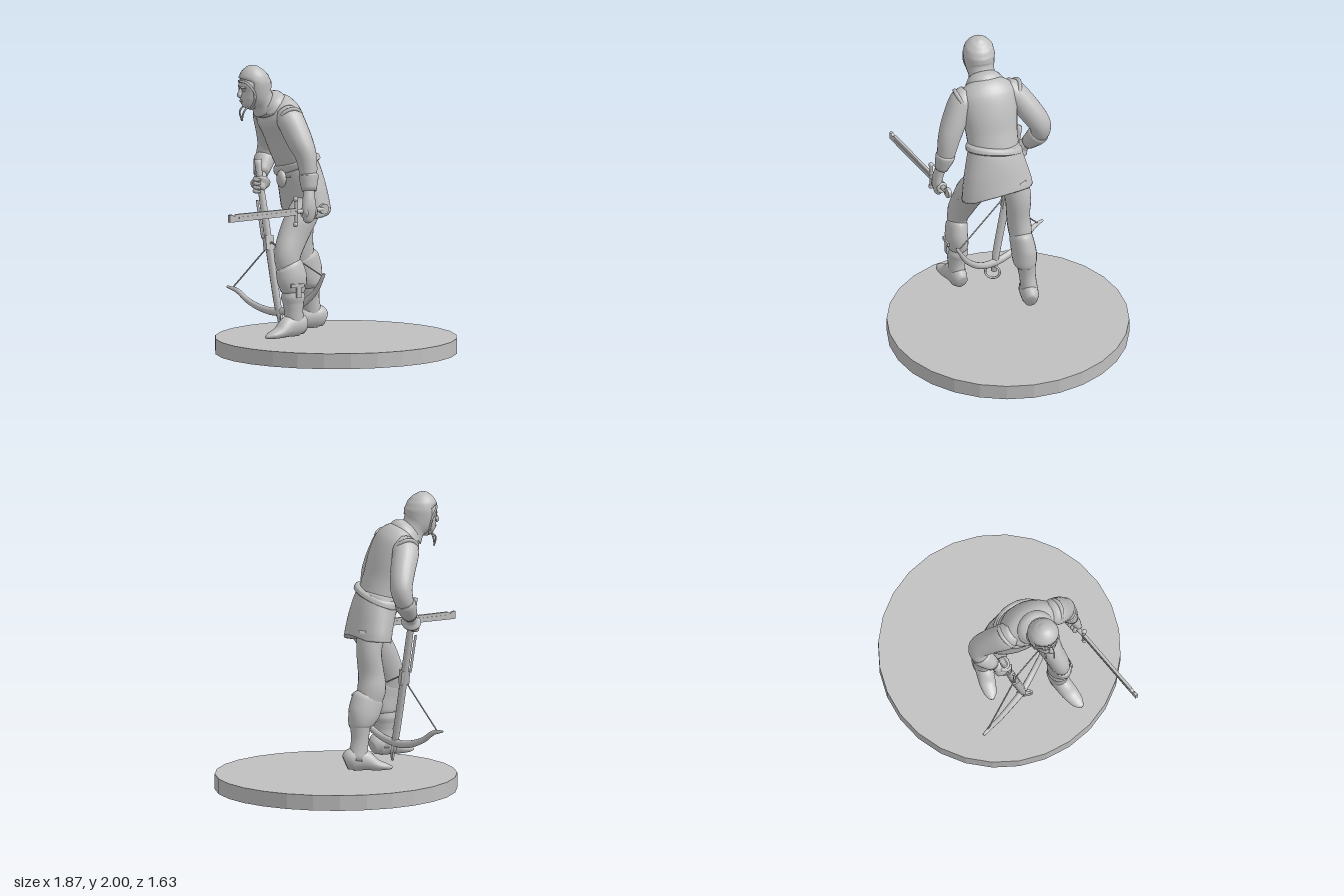
import * as THREE from 'three';

const grey = new THREE.MeshStandardMaterial({ color: 0xbfbfbf });
grey.name = 'stone grey';
const V = (x, y, z) => new THREE.Vector3(x, y, z);

// Smooth skin through sections [x, y, z, radiusAcross, radiusAlongRef]; tweak may move each point.
function loft(rows, { ref = V(0, 0, 1), sides = 20, steps = 4, tweak } = {}) {
  const path = new THREE.CatmullRomCurve3(rows.map(r => V(r[0], r[1], r[2])));
  const size = new THREE.CatmullRomCurve3(rows.map(r => V(r[3], r[4], 0)));
  const n = (rows.length - 1) * steps, pos = [], idx = [];
  const put = p => { if (tweak) tweak(p); pos.push(p.x, p.y, p.z); };
  for (let i = 0; i <= n; i++) {
    const c = path.getPoint(i / n), s = size.getPoint(i / n), t = path.getTangent(i / n);
    const w = ref.clone().addScaledVector(t, -ref.dot(t)).normalize();
    const u = w.clone().cross(t);
    for (let j = 0; j < sides; j++) {
      const a = j / sides * Math.PI * 2;
      put(c.clone().addScaledVector(u, Math.cos(a) * s.x).addScaledVector(w, Math.sin(a) * s.y));
      const k = i * sides + j, m = i * sides + (j + 1) % sides;
      if (i < n) idx.push(k, m, k + sides, m, m + sides, k + sides);
    }
  }
  const end = (n + 1) * sides;
  put(path.getPoint(0));
  put(path.getPoint(1));
  for (let j = 0; j < sides; j++) {
    const m = (j + 1) % sides;
    idx.push(end, m, j, end + 1, n * sides + j, n * sides + m);
  }
  const g = new THREE.BufferGeometry();
  g.setAttribute('position', new THREE.Float32BufferAttribute(pos, 3));
  g.setIndex(idx);
  g.computeVertexNormals();
  return g;
}

function add(parent, name, geometry, x = 0, y = 0, z = 0) {
  const m = new THREE.Mesh(geometry, grey);
  m.name = name;
  m.position.set(x, y, z);
  parent.add(m);
  return m;
}

function rod(parent, name, a, b, r) {
  const m = add(parent, name, new THREE.CylinderGeometry(r, r, a.distanceTo(b), 8));
  m.position.copy(a).lerp(b, 0.5);
  m.quaternion.setFromUnitVectors(V(0, 1, 0), b.clone().sub(a).normalize());
  return m;
}

function group(parent, name) {
  const g = new THREE.Group();
  g.name = name;
  parent.add(g);
  return g;
}

// Head with close hood, face and hanging ties
function buildHead(root) {
  const g = group(root, 'head');
  add(g, 'hood', loft([
    [-.41, 1.70, 0, .10, .10], [-.445, 1.755, 0, .085, .09], [-.485, 1.81, 0, .11, .1],
    [-.505, 1.88, 0, .118, .108], [-.503, 1.945, 0, .095, .095], [-.495, 1.985, 0, .055, .055], [-.49, 2.0, 0, .012, .012],
  ], { tweak: p => { if (p.y < 1.9) p.x = Math.max(p.x, -.55); } }));
  add(g, 'face', loft([
    [-.56, 1.71, 0, .03, .03], [-.55, 1.735, 0, .058, .055], [-.54, 1.78, 0, .068, .075],
    [-.54, 1.83, 0, .064, .085], [-.54, 1.87, 0, .074, .088], [-.53, 1.92, 0, .06, .075],
  ]));
  add(g, 'nose', loft([[-.602, 1.862, 0, .008, .01], [-.613, 1.825, 0, .014, .013], [-.617, 1.803, 0, .018, .018], [-.605, 1.795, 0, .006, .01]], { sides: 8 }));
  add(g, 'mouth', new THREE.SphereGeometry(.02, 10, 6), -.605, 1.765, 0).scale.set(.5, .4, 1.1);
  for (const s of [-1, 1]) {
    add(g, 'eye', new THREE.SphereGeometry(.011, 10, 8), -.598, 1.842, s * .032);
    rod(g, 'brow', V(-.61, 1.857, s * .012), V(-.593, 1.86, s * .055), .008);
    add(g, 'hoodRim', new THREE.TubeGeometry(new THREE.CatmullRomCurve3([
      V(-.615, 1.9, 0), V(-.59, 1.89, s * .06), V(-.55, 1.83, s * .092), V(-.54, 1.765, s * .075), V(-.55, 1.72, s * .04)]), 16, .008, 6));
    add(g, 'hoodTie', new THREE.TubeGeometry(new THREE.CatmullRomCurve3([
      V(-.565, 1.73, s * .03), V(-.6, 1.69, s * .03), V(-.6 + s * -.012, 1.63, s * .025)]), 8, .006, 6));
  }
}

// Tunic with flared skirt, belt, collar and buttons
function buildTunic(root) {
  const g = group(root, 'tunic');
  add(g, 'tunicBody', loft([
    [-.18, 1.26, 0, .14, .18], [-.2, 1.34, 0, .13, .175], [-.235, 1.43, 0, .135, .18], [-.275, 1.55, 0, .142, .195],
    [-.32, 1.645, 0, .145, .205], [-.355, 1.695, 0, .13, .185], [-.39, 1.73, 0, .095, .12], [-.42, 1.76, 0, .07, .08],
  ], { sides: 28 }));
  add(g, 'tunicSkirt', loft([
    [-.115, 1.0, 0, .145, .25], [-.125, 1.06, 0, .145, .243], [-.145, 1.16, 0, .145, .222],
    [-.175, 1.27, 0, .143, .193], [-.19, 1.33, 0, .132, .178],
  ], { sides: 28, tweak: p => {
    const low = Math.max(0, (1.16 - p.y) / .16);
    p.y -= low * (p.z * .13 - Math.max(0, p.x + .03) * .6);
  } }));
  add(g, 'belt', loft([
    [-.176, 1.285, 0, .14, .185], [-.18, 1.297, 0, .153, .2], [-.188, 1.325, 0, .15, .195], [-.192, 1.34, 0, .135, .178],
  ], { sides: 28, tweak: p => { p.y += p.z * .2; } }));
  add(g, 'collar', loft([
    [-.375, 1.70, 0, .115, .135], [-.39, 1.725, 0, .118, .13], [-.415, 1.75, 0, .098, .108], [-.43, 1.765, 0, .075, .08],
  ]));
  for (let i = 0; i < 6; i++)
    add(g, 'button', new THREE.SphereGeometry(.012, 8, 6), -.335 - i * .02, 1.38 + i * .045, .01);
  add(g, 'beltPouch', new THREE.SphereGeometry(.05, 12, 10), -.325, 1.22, .05).scale.set(.6, 1.2, 1);
}

// Arms: the left hangs beside the body, the right is bent out at the elbow
function buildArms(root) {
  const left = group(root, 'leftArm');
  add(left, 'leftSleeve', loft([
    [-.34, 1.70, .13, .06, .06], [-.325, 1.64, .185, .095, .085], [-.29, 1.51, .25, .09, .085],
    [-.262, 1.41, .292, .074, .078], [-.255, 1.28, .32, .06, .062], [-.265, 1.17, .35, .043, .04],
  ]));
  add(left, 'leftCuff', loft([[-.255, 1.285, .32, .058, .06], [-.255, 1.27, .323, .068, .068], [-.265, 1.17, .35, .05, .046]]));
  add(left, 'leftHand', loft([
    [-.265, 1.18, .35, .038, .034], [-.275, 1.11, .368, .046, .034], [-.278, 1.05, .378, .052, .03], [-.28, .98, .37, .04, .024], [-.28, .96, .36, .02, .014],
  ]));
  const right = group(root, 'rightArm');
  add(right, 'rightSleeve', loft([
    [-.34, 1.70, -.13, .06, .06], [-.32, 1.635, -.19, .093, .085], [-.265, 1.52, -.275, .085, .085],
    [-.23, 1.41, -.34, .075, .078], [-.245, 1.33, -.35, .066, .066], [-.29, 1.25, -.315, .052, .052], [-.32, 1.2, -.28, .042, .042],
  ]));
  add(right, 'rightCuff', loft([[-.25, 1.32, -.348, .066, .066], [-.26, 1.3, -.34, .072, .072], [-.315, 1.21, -.288, .05, .05]]));
  add(right, 'rightHand', loft([
    [-.315, 1.21, -.285, .036, .04], [-.335, 1.175, -.25, .045, .05], [-.35, 1.14, -.22, .045, .05], [-.365, 1.11, -.195, .025, .03],
  ]));
  for (let i = 0; i < 4; i++) {
    const y = 1.105 + i * .027;
    add(right, 'rightFinger', loft([[-.345, y, -.25, .014, .014], [-.385, y, -.235, .014, .014], [-.392, y, -.2, .013, .013], [-.37, y, -.178, .008, .008]],
      { ref: V(0, 1, 0), sides: 8 }));
  }
  // Puffed shoulder seams
  for (const s of [-1, 1]) {
    const seam = add(root, 'shoulderSeam', new THREE.TorusGeometry(.078, .014, 8, 24), -.325, 1.645, s * .185);
    seam.scale.y = 1.1;
    seam.rotation.x = s * .5;
  }
}

// Legs: trousers, bulging knee cuff, boot shaft and long flat foot
function buildLeg(root, side, thigh, knee, shin, foot, floor) {
  const g = group(root, side + 'Leg');
  add(g, side + 'Thigh', loft(thigh));
  add(g, side + 'KneeCuff', loft(knee));
  add(g, side + 'BootShaft', loft(shin));
  add(g, side + 'Foot', loft(foot, { tweak: p => { p.y = Math.max(p.y, floor); } }));
  return g;
}
const footRows = (dx, dy, z, s) => [
  [-.235, .22, -.01, .05, .04], [-.28, .24, 0, .08, .06], [-.36, .235, .01, .075, .06],
  [-.44, .2, .03, .042, .056], [-.51, .185, .045, .025, .042], [-.55, .178, .055, .01, .014],
].map(([x, y, w, a, b]) => [x + dx, y + dy, z + s * w, a, b]);

function buildLegs(root) {
  const left = buildLeg(root, 'left',
    [[-.12, 1.08, .1, .1, .1], [-.22, .97, .15, .11, .095], [-.3, .84, .175, .107, .078], [-.355, .71, .2, .095, .07], [-.34, .6, .21, .08, .06]],
    [[-.355, .665, .21, .08, .06], [-.345, .64, .212, .1, .07], [-.33, .56, .22, .108, .075], [-.32, .48, .215, .088, .072], [-.32, .45, .215, .07, .06]],
    [[-.32, .48, .215, .074, .066], [-.32, .4, .22, .074, .066], [-.318, .33, .223, .066, .058], [-.31, .22, .22, .072, .058]],
    footRows(0, 0, .22, 1), .165);
  // Knee strap with buckle, and thigh strap
  add(left, 'kneeBuckle', new THREE.BoxGeometry(.035, .08, .02), -.315, .475, .292);
  add(left, 'kneeStrap', new THREE.BoxGeometry(.1, .025, .015), -.325, .52, .295);
  add(left, 'thighStrap', new THREE.BoxGeometry(.06, .025, .02), -.245, .92, .235).rotation.z = .2;
  buildLeg(root, 'right',
    [[-.1, 1.08, -.11, .1, .1], [-.075, .95, -.135, .085, .09], [-.088, .8, -.14, .09, .08], [-.088, .7, -.15, .1, .08], [-.06, .6, -.155, .09, .07]],
    [[-.075, .665, -.15, .085, .065], [-.06, .63, -.152, .115, .077], [-.028, .54, -.16, .112, .083], [-.002, .465, -.16, .085, .08], [0, .435, -.16, .07, .065]],
    [[0, .48, -.165, .075, .07], [.008, .35, -.175, .06, .056], [.03, .22, -.185, .072, .058]],
    footRows(.345, -.015, -.175, -1), .15);
}

// Sword held level in the left hand, with fingers wrapped round the grip
function buildSword(root) {
  const g = group(root, 'sword');
  g.position.set(-.27, 1.04, .362);
  g.rotation.y = .18;
  const s = new THREE.Shape([[-.11, -.024], [-.11, .024], [-.62, .026], [-.64, .012], [-.655, .026], [-.678, .026], [-.678, -.026], [-.62, -.026]].map(p => new THREE.Vector2(...p)));
  add(g, 'blade', new THREE.ExtrudeGeometry(s, { depth: .02, bevelEnabled: false }), 0, 0, -.01);
  add(g, 'bladeRidge', new THREE.BoxGeometry(.48, .012, .026), -.36, 0, 0);
  add(g, 'guard', new THREE.CylinderGeometry(.012, .012, .17, 10), -.11, 0, 0);
  for (const e of [-1, 1]) add(g, 'guardEnd', new THREE.SphereGeometry(.018, 10, 8), -.115, e * .087, 0);
  add(g, 'grip', new THREE.CylinderGeometry(.015, .018, .22, 12), 0, 0, 0).rotation.z = Math.PI / 2;
  add(g, 'pommel', new THREE.CylinderGeometry(.036, .036, .025, 16), .122, 0, 0).rotation.x = Math.PI / 2;
  for (let i = 0; i < 4; i++)
    add(g, 'leftFinger', new THREE.TorusGeometry(.027, .013, 8, 16), -.042 + i * .026, -.01, 0).rotation.y = Math.PI / 2;
}

// Crossbow hanging nose-down from the right hand
function buildCrossbow(root) {
  const g = group(root, 'crossbow');
  add(g, 'stock', loft([
    [-.29, .23, -.035, .018, .02], [-.305, .38, -.06, .026, .028], [-.325, .7, -.125, .026, .03],
    [-.345, 1.0, -.18, .026, .026], [-.355, 1.18, -.215, .022, .024], [-.36, 1.32, -.24, .028, .022],
  ], { sides: 8 }));
  add(g, 'bowLimbs', loft([
    [-.12, .585, .285, .01, .012], [-.15, .45, .205, .02, .018], [-.22, .34, .08, .025, .02], [-.3, .295, -.06, .028, .022],
    [-.355, .305, -.18, .025, .02], [-.41, .35, -.29, .02, .018], [-.45, .41, -.37, .017, .016], [-.485, .43, -.45, .008, .01],
  ], { ref: V(1, 0, 0), sides: 10 }));
  const nut = V(-.325, .767, -.1);
  rod(g, 'bowstring', V(-.125, .57, .27), nut, .005);
  rod(g, 'bowstring', V(-.465, .425, -.41), nut, .005);
  const stirrup = add(g, 'stirrup', new THREE.TorusGeometry(.05, .008, 8, 20), -.288, .225, -.025);
  stirrup.rotation.y = 1.1;
  rod(g, 'triggerLever', V(-.37, .8, -.15), V(-.4, 1.05, -.17), .009);
  rod(g, 'leverPivot', V(-.33, .8, -.145), V(-.375, .8, -.15), .01);
  add(g, 'lockPlate', new THREE.BoxGeometry(.06, .1, .05), -.33, .76, -.135).rotation.x = -.19;
}

export function createModel() {
  const root = new THREE.Group();
  root.name = 'soldierFigure';
  // Faceted round plinth
  const disc = new THREE.CylinderGeometry(.822, .822, .105, 28, 1, false, Math.PI / 28).toNonIndexed();
  disc.computeVertexNormals();
  add(root, 'plinth', disc, .113, .0525, 0);
  buildHead(root);
  buildTunic(root);
  buildArms(root);
  buildLegs(root);
  buildSword(root);
  buildCrossbow(root);
  return root;
}
